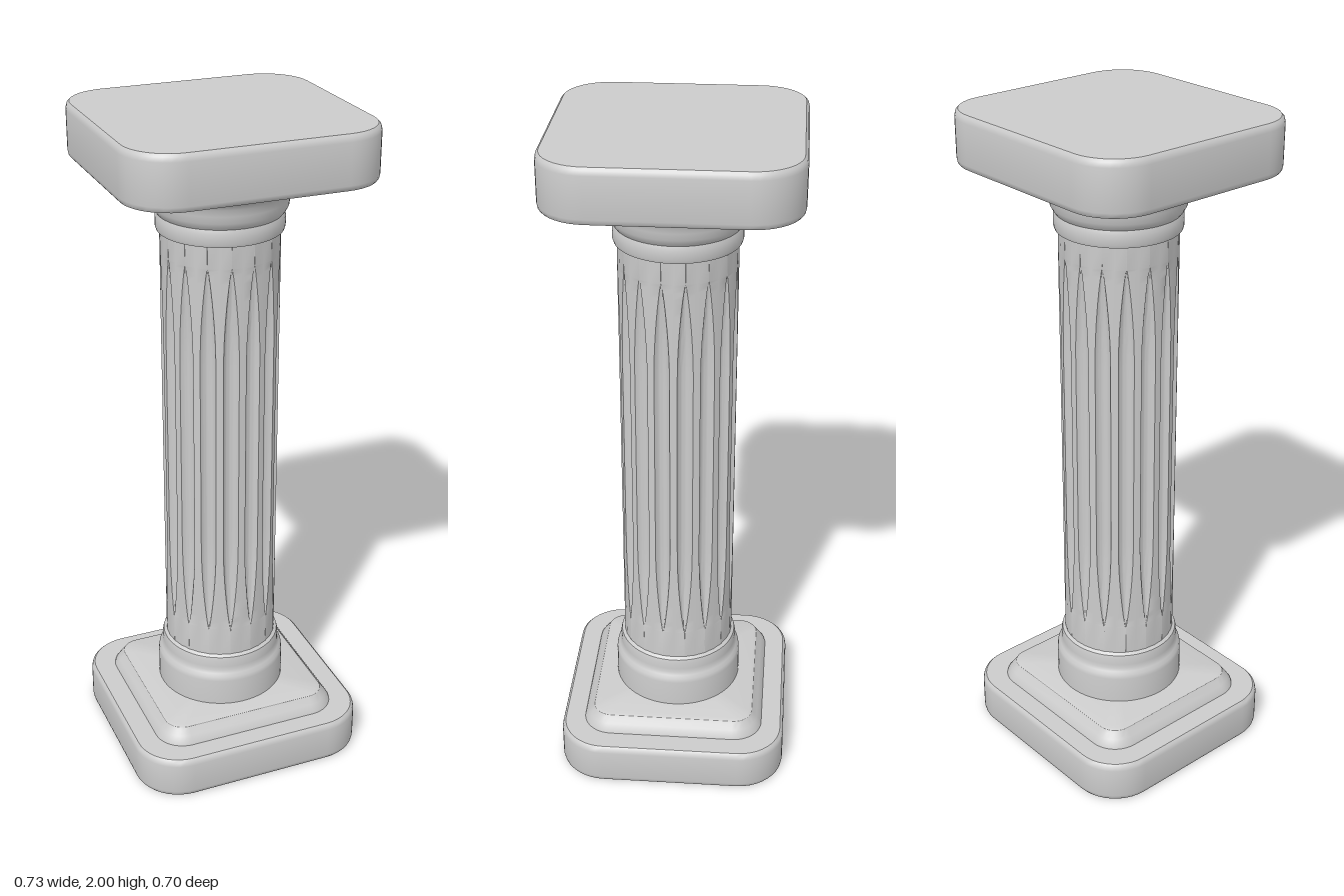
import * as THREE from 'three';
import { toCreasedNormals } from 'three/addons/utils/BufferGeometryUtils.js';

const material = new THREE.MeshStandardMaterial({ color: 0xcccccc });

// Skin a stack of closed rings (bottom to top), optionally capped at both ends.
function skin(rings, capped, crease) {
  const n = rings[0].length;
  const pos = rings.flat(2);
  const index = [];
  for (let i = 0; i < rings.length - 1; i++) {
    for (let j = 0; j < n; j++) {
      const k = (j + 1) % n;
      const a = i * n + j, b = i * n + k, c = a + n, d = b + n;
      index.push(a, c, b, b, c, d);
    }
  }
  if (capped) {
    const top = (rings.length - 1) * n;
    const low = rings.length * n;
    pos.push(0, rings[0][0][1], 0, 0, rings[rings.length - 1][0][1], 0);
    for (let j = 0; j < n; j++) {
      const k = (j + 1) % n;
      index.push(low, j, k, low + 1, top + k, top + j);
    }
  }
  const g = new THREE.BufferGeometry();
  g.setAttribute('position', new THREE.Float32BufferAttribute(pos, 3));
  g.setIndex(index);
  return toCreasedNormals(g, crease);
}

// Rounded rectangle outline at height y.
function roundedRing(hx, hz, r, y, steps = 10) {
  const ring = [];
  for (let q = 0; q < 4; q++) {
    const sx = q === 0 || q === 3 ? 1 : -1;
    const sz = q < 2 ? 1 : -1;
    for (let i = 0; i <= steps; i++) {
      const a = (q + i / steps) * Math.PI / 2;
      ring.push([sx * (hx - r) + r * Math.cos(a), y, sz * (hz - r) + r * Math.sin(a)]);
    }
  }
  return ring;
}

// Block whose profile is a list of [inset, y] from a rounded rectangle.
function block(hx, hz, r, profile) {
  return skin(profile.map(([d, y]) => roundedRing(hx - d, hz - d, r - d, y)), true, 0.6);
}

// Turned moulding from a bottom-to-top [radius, y] profile.
function turned(profile) {
  const pts = profile.map(([r, y]) => new THREE.Vector2(r, y));
  return toCreasedNormals(new THREE.LatheGeometry(pts, 64), 0.7);
}

// Shaft with flutes that narrow to a point at both ends.
function flutedShaft() {
  const count = 16, radius = 0.17, y0 = 0.44, y1 = 1.61, samples = 8;
  const pitch = Math.PI * 2 / count;
  const heights = [0.33];
  for (let i = 0; i <= 32; i++) {
    heights.push(y0 + (y1 - y0) * (1 - Math.cos(Math.PI * i / 32)) / 2);
  }
  heights.push(1.69);
  const rings = heights.map((y) => {
    const t = Math.max(0, Math.min(1, Math.min(y - y0, y1 - y) / 0.3));
    const open = 0.02 + 0.98 * Math.sin(t * Math.PI / 2) ** 0.8;
    const ring = [];
    for (let f = 0; f < count; f++) {
      const mid = (f + 0.5) * pitch;
      const add = (a, r) => ring.push([r * Math.cos(a), y, r * Math.sin(a)]);
      add(mid - pitch / 2, radius);
      for (let s = 0; s <= samples; s++) {
        const u = s / samples * 2 - 1;
        add(mid + u * open * pitch * 0.34, radius - 0.02 * open * Math.sqrt(1 - u * u));
      }
    }
    return ring;
  });
  return skin(rings, false, 0.6);
}

export function createModel() {
  const group = new THREE.Group();
  const add = (name, geometry) => {
    const mesh = new THREE.Mesh(geometry, material);
    mesh.name = name;
    group.add(mesh);
  };

  // Square slabs at the foot and the head
  const slab = (lo, hi) => block(0.363, 0.348, 0.14, [
    [0.006, lo], [0.002, lo + 0.005], [0, lo + 0.015],
    [0, hi - 0.02], [0.003, hi - 0.007], [0.01, hi],
  ]);
  add('plinth', slab(0, 0.13));
  add('abacus', slab(1.85, 2));

  // Sloped square steps next to the slabs
  add('plinthStep', block(0.292, 0.28, 0.09, [
    [0, 0.125], [0.004, 0.138], [0.016, 0.155], [0.026, 0.168], [0.032, 0.177], [0.042, 0.181],
  ]));
  add('abacusStep', block(0.28, 0.27, 0.09, [
    [0.03, 1.815], [0.02, 1.819], [0.013, 1.828], [0.006, 1.84], [0, 1.855],
  ]));

  // Round base moulding
  add('baseMoulding', turned([
    [0.196, 0.175], [0.196, 0.265], [0.194, 0.279], [0.187, 0.288], [0.183, 0.298],
    [0.182, 0.31], [0.182, 0.33], [0.179, 0.342], [0.169, 0.349],
  ]));

  add('flutedShaft', flutedShaft());

  // Round capital moulding, flaring out under the square step
  add('capitalMoulding', turned([
    [0.168, 1.672], [0.179, 1.675], [0.182, 1.684], [0.182, 1.712], [0.178, 1.724],
    [0.184, 1.732], [0.191, 1.745], [0.193, 1.765], [0.197, 1.785], [0.204, 1.798],
    [0.219, 1.809], [0.235, 1.815], [0.24, 1.82],
  ]));

  return group;
}
